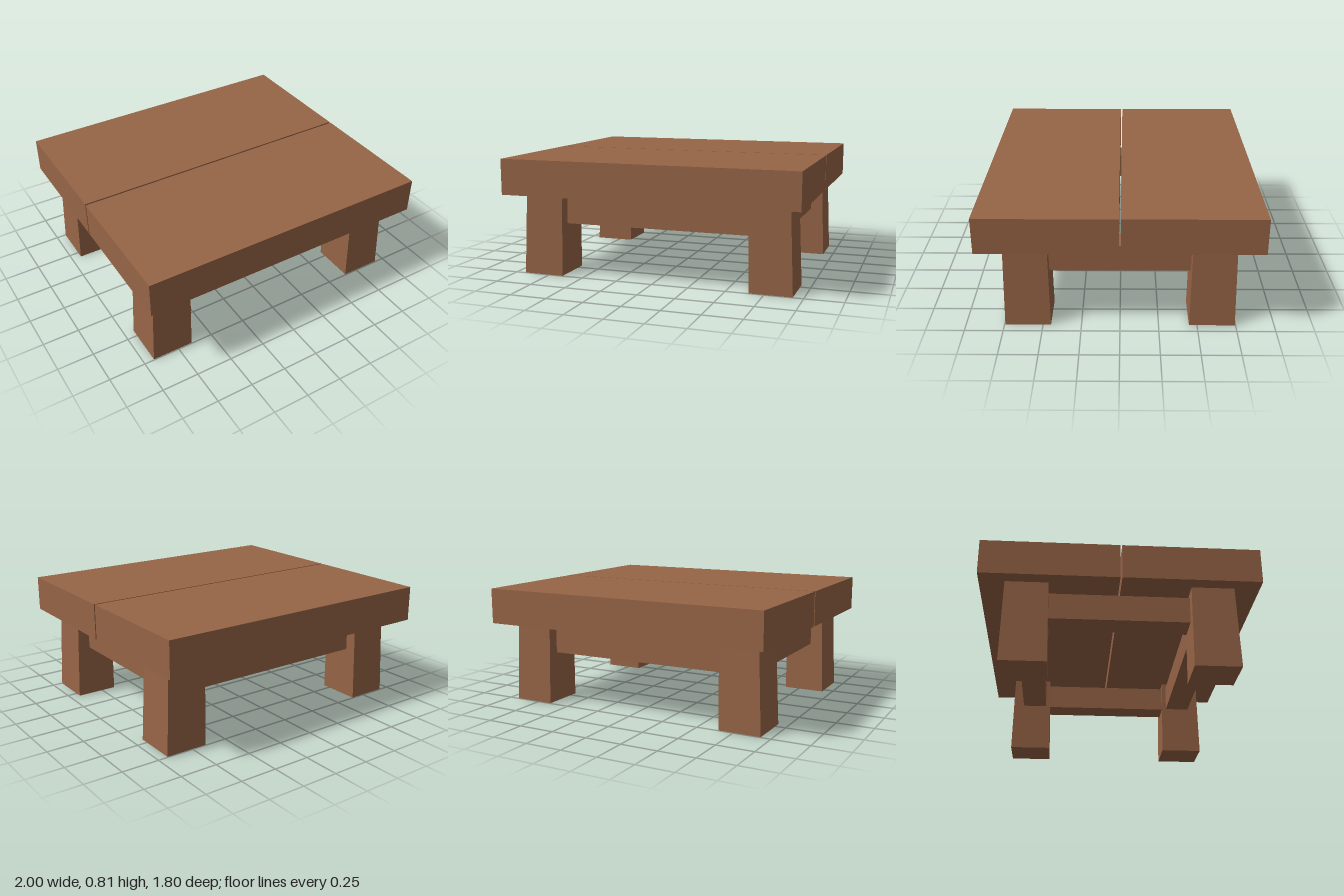
import * as THREE from 'three';

export function createModel() {
  const group = new THREE.Group();
  const wood = new THREE.MeshStandardMaterial({ color: 0x966446 });
  wood.name = 'brownWood';

  // Box given by its limits on each axis
  const boxGeometry = (x0, x1, y0, y1, z0, z1) =>
    new THREE.BoxGeometry(x1 - x0, y1 - y0, z1 - z0)
      .translate((x0 + x1) / 2, (y0 + y1) / 2, (z0 + z1) / 2);

  const add = (name, geometry) => {
    const mesh = new THREE.Mesh(geometry, wood);
    mesh.name = name;
    group.add(mesh);
  };

  // Leg: a box whose top is narrower than its foot
  const legGeometry = (sx, sz) => {
    const geometry = new THREE.BoxGeometry(1, 1, 1);
    const p = geometry.attributes.position;
    for (let i = 0; i < p.count; i++) {
      const top = p.getY(i) > 0;
      const outerX = p.getX(i) * sx > 0;
      const outerZ = p.getZ(i) * sz > 0;
      const x = top ? (outerX ? 0.907 : 0.642) : (outerX ? 0.932 : 0.65);
      const z = top ? (outerZ ? 0.735 : 0.457) : (outerZ ? 0.745 : 0.448);
      p.setXYZ(i, sx * x, top ? 0.565 : 0, sz * z);
    }
    geometry.computeVertexNormals();
    return geometry;
  };

  // Two thick planks with a narrow gap between them
  add('frontPlank', boxGeometry(-1, 1, 0.565, 0.805, 0.006, 0.9));
  add('backPlank', boxGeometry(-1, 1, 0.565, 0.805, -0.9, -0.006));

  // Four tapered legs
  for (const sx of [1, -1]) {
    for (const sz of [1, -1]) {
      add(`${sz > 0 ? 'front' : 'back'}${sx > 0 ? 'Left' : 'Right'}Leg`, legGeometry(sx, sz));
    }
  }

  // Rails between the legs
  add('frontRail', boxGeometry(-0.65, 0.65, 0.35, 0.53, 0.485, 0.66));
  add('backRail', boxGeometry(-0.65, 0.65, 0.35, 0.53, -0.66, -0.485));
  add('leftRail', boxGeometry(0.66, 0.83, 0.35, 0.53, -0.465, 0.465));
  add('rightRail', boxGeometry(-0.83, -0.66, 0.35, 0.53, -0.465, 0.465));

  return group;
}
